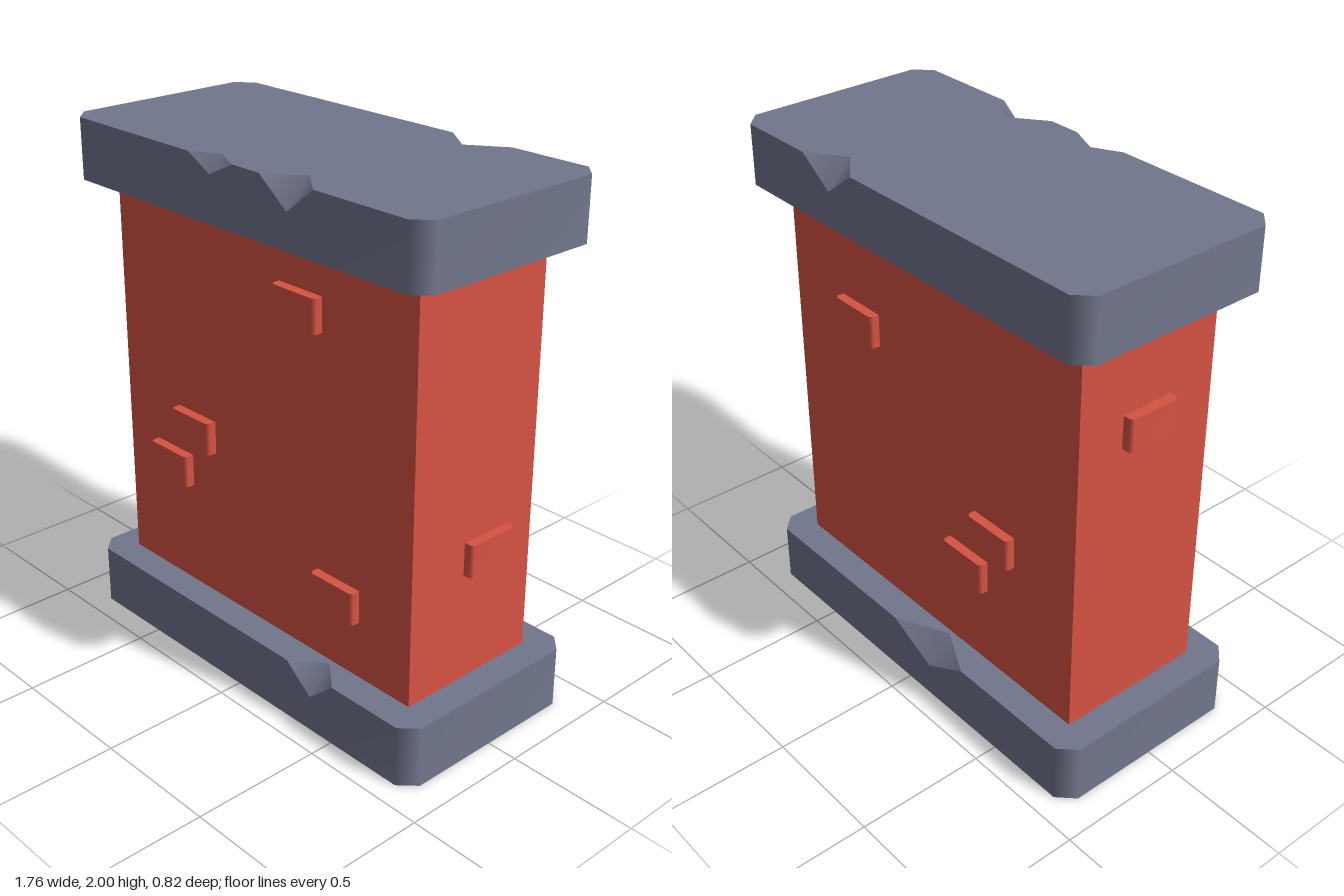
import * as THREE from 'three';
import { mergeGeometries } from 'three/addons/utils/BufferGeometryUtils.js';

const stone = new THREE.MeshStandardMaterial({ color: 0x71768c });
stone.name = 'slateStone';
const red = new THREE.MeshStandardMaterial({ color: 0xd65243 });
red.name = 'redBrick';

function meshGeometry(points, index) {
  const g = new THREE.BufferGeometry();
  g.setAttribute('position', new THREE.Float32BufferAttribute(points.flat(), 3));
  g.setIndex(index);
  g.computeVertexNormals();
  return g;
}

// Flat cap from [x, z] points, facing up or down
function cap(points, y, up) {
  const shape = new THREE.Shape(points.map(([x, z]) => new THREE.Vector2(x, up ? -z : z)));
  const g = new THREE.ShapeGeometry(shape);
  g.rotateX(up ? -Math.PI / 2 : Math.PI / 2);
  g.translate(0, y, 0);
  g.deleteAttribute('uv');
  return g;
}

// Upright block with chamfered vertical corners, smooth sides and chips in its upper edges.
// A chip is { side: 1 front / -1 back, from, to, at, size }.
function chamferedBlock(hx, hz, height, c, chips = []) {
  const rim = [];      // [x, z, topY] along the walls
  const top = [];      // [x, z] of the upper face
  const facets = [];
  const add = (x, z) => { rim.push([x, z, height]); top.push([x, z]); };

  for (const side of [1, -1]) {
    const z = side * hz;
    add(-side * (hx - c), z);
    const own = chips.filter(k => k.side === side).sort((a, b) => side * (a.at - b.at));
    for (const { from, to, at, size } of own) {
      const [x0, x1] = side > 0 ? [from, to] : [to, from];
      const inner = z - side * size;
      add(x0, z);
      rim.push([at, z, height - size]);
      top.push([at, inner]);
      add(x1, z);
      facets.push(meshGeometry(
        [[x0, height, z], [at, height - size, z], [x1, height, z], [at, height, inner]],
        [0, 1, 3, 1, 2, 3]));
    }
    add(side * (hx - c), z);
    add(side * hx, side * (hz - c));
    add(side * hx, -side * (hz - c));
  }

  const n = rim.length;
  const points = [];
  const index = [];
  rim.forEach(([x, z, y], i) => {
    const a = 2 * i, b = 2 * ((i + 1) % n);
    points.push([x, 0, z], [x, y, z]);
    index.push(a, b, b + 1, a, b + 1, a + 1);
  });
  const outline = rim.filter(p => p[2] === height).map(([x, z]) => [x, z]);
  return mergeGeometries([
    meshGeometry(points, index), cap(top, height, true), cap(outline, 0, false), ...facets,
  ]);
}

export function createModel() {
  const model = new THREE.Group();
  model.name = 'brickPillar';
  const add = (name, geometry, material, x, y, z, turn = 0) => {
    const mesh = new THREE.Mesh(geometry, material);
    mesh.name = name;
    mesh.position.set(x, y, z);
    mesh.rotation.y = turn;
    model.add(mesh);
  };

  // Wall core
  add('wall', new THREE.BoxGeometry(1.53, 1.535, 0.59), red, 0, 1.0025, 0);

  // Stone slabs with chipped edges
  add('baseSlab', chamferedBlock(0.88, 0.41, 0.235, 0.06, [
    { side: 1, from: 0.27, to: 0.505, at: 0.39, size: 0.097 },
    { side: -1, from: -0.31, to: 0.085, at: -0.12, size: 0.1 },
  ]), stone, 0, 0, 0);
  add('topSlab', chamferedBlock(0.88, 0.41, 0.23, 0.06, [
    { side: 1, from: -0.2, to: 0.03, at: -0.09, size: 0.057 },
    { side: 1, from: 0.16, to: 0.415, at: 0.29, size: 0.098 },
    { side: -1, from: 0.23, to: 0.5, at: 0.36, size: 0.097 },
  ]), stone, 0, 1.77, 0);

  // Bricks standing proud of the wall: [x, centre y, z, turn]
  const brick = chamferedBlock(0.105, 0.038, 0.126, 0.011);
  const bricks = {
    frontBrick: [[0.225, 1.54, 0.295, 0], [-0.348, 0.897, 0.295, 0],
      [-0.488, 0.713, 0.295, 0], [0.413, 0.52, 0.295, 0]],
    backBrick: [[0.37, 1.37, -0.293, 0], [-0.36, 0.813, -0.293, 0], [-0.22, 0.625, -0.293, 0]],
    leftBrick: [[0.763, 0.715, -0.062, Math.PI / 2]],
    rightBrick: [[-0.766, 1.378, 0, Math.PI / 2]],
  };
  for (const [name, list] of Object.entries(bricks))
    for (const [x, y, z, turn] of list) add(name, brick, red, x, y - 0.063, z, turn);

  return model;
}
